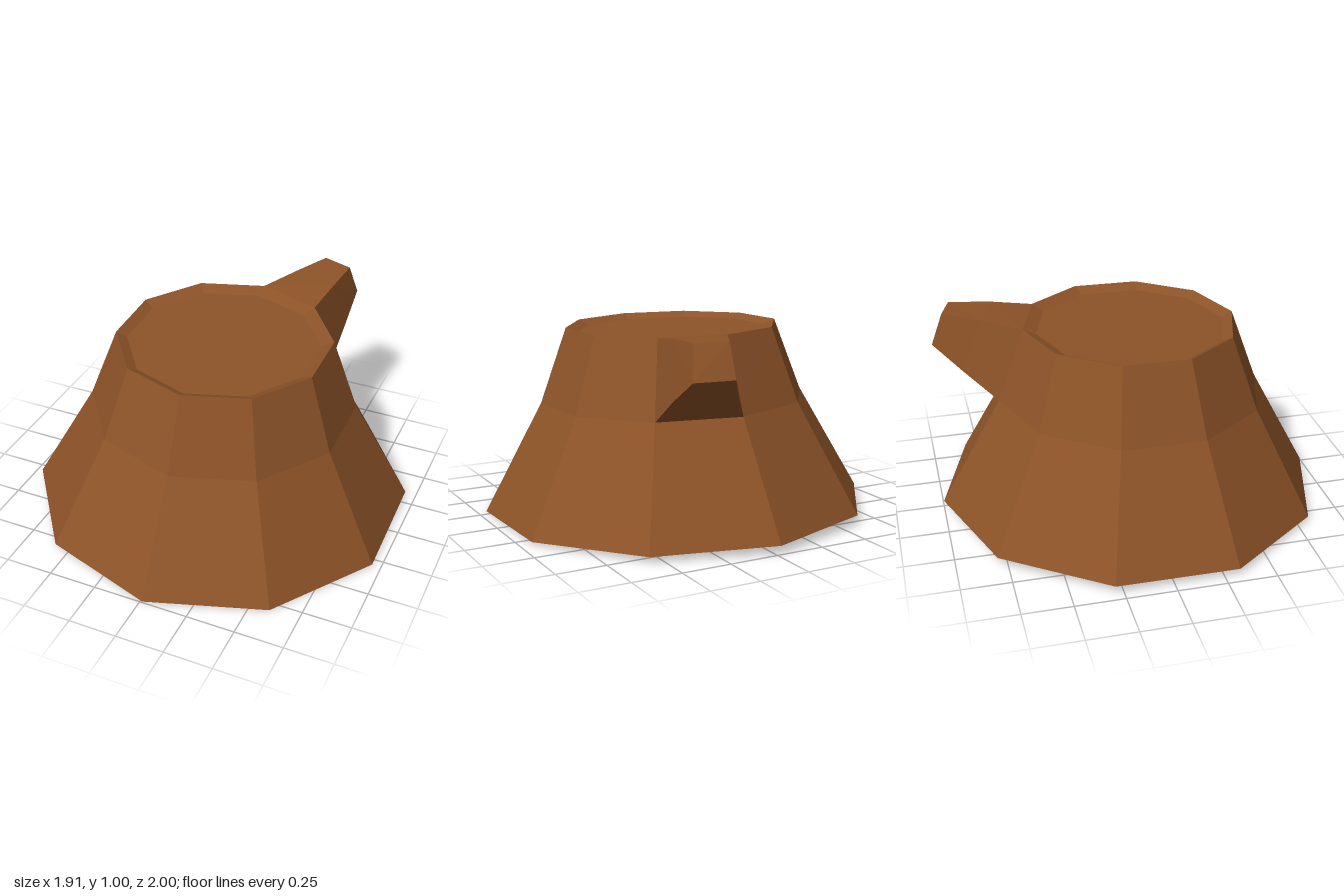
import * as THREE from 'three';

const SIDES = 10;

// One tilted ten-sided ring, starting at the back and going round towards +x
function ring(radius, cx, cz, y, slopeX, slopeZ) {
  return Array.from({ length: SIDES }, (_, k) => {
    const a = THREE.MathUtils.degToRad(k * 36 - 1);
    const x = cx + radius * Math.sin(a);
    const z = cz - radius * Math.cos(a);
    return [x, y + slopeX * x + slopeZ * z, z];
  });
}

function quad(out, a, b, c, d) {
  out.push(...a, ...b, ...c, ...a, ...c, ...d);
}

// Unshared corners give flat facets
function facetMesh(name, points, material) {
  const geometry = new THREE.BufferGeometry();
  geometry.setAttribute('position', new THREE.Float32BufferAttribute(points, 3));
  geometry.computeVertexNormals();
  const mesh = new THREE.Mesh(geometry, material);
  mesh.name = name;
  return mesh;
}

export function createModel() {
  const bark = new THREE.MeshStandardMaterial({ color: 0x8d5328, flatShading: true });
  bark.name = 'brown bark';
  const group = new THREE.Group();
  group.name = 'treeStump';

  const base = ring(1.0, -0.003, 0, 0.023, -0.017, -0.018);
  const middle = ring(0.69, 0.008, 0.01, 0.578, -0.018, -0.018);
  const rim = ring(0.55, 0.015, 0.01, 0.957, -0.012, -0.018);
  const floor = ring(0.49, 0.01, 0.015, 0.93, -0.012, -0.018);
  const rows = [base, middle, rim, floor];

  // Trunk walls and inner lip, leaving out the panel where the branch grows
  const trunk = [];
  for (let r = 0; r < 3; r++) {
    for (let k = 0; k < SIDES; k++) {
      if (r === 1 && k === 0) continue;
      const n = (k + 1) % SIDES;
      quad(trunk, rows[r][n], rows[r][k], rows[r + 1][k], rows[r + 1][n]);
    }
  }
  group.add(facetMesh('trunk', trunk, bark));

  // Sunken cut face and underside
  const cut = [];
  const underside = [];
  for (let k = 1; k < SIDES - 1; k++) {
    cut.push(...floor[0], ...floor[k + 1], ...floor[k]);
    underside.push(...base[0], ...base[k], ...base[k + 1]);
  }
  group.add(facetMesh('cutFace', cut, bark));
  group.add(facetMesh('underside', underside, bark));

  // Branch stub: four-cornered sections growing out of the back panel
  const sections = [
    [middle[1], middle[0], rim[0], rim[1]],
    [[0.41, 0.71, -0.74], [0.12, 0.715, -0.84], [0.12, 0.988, -0.74], [0.355, 0.985, -0.65]],
    [[0.41, 0.83, -0.93], [0.22, 0.835, -0.98], [0.22, 1.0, -0.92], [0.375, 0.997, -0.87]],
  ];
  const branch = [];
  for (let s = 0; s < 2; s++) {
    for (let j = 0; j < 4; j++) {
      const n = (j + 1) % 4;
      quad(branch, sections[s][j], sections[s][n], sections[s + 1][n], sections[s + 1][j]);
    }
  }
  quad(branch, ...sections[2]);
  group.add(facetMesh('branchStub', branch, bark));

  return group;
}
